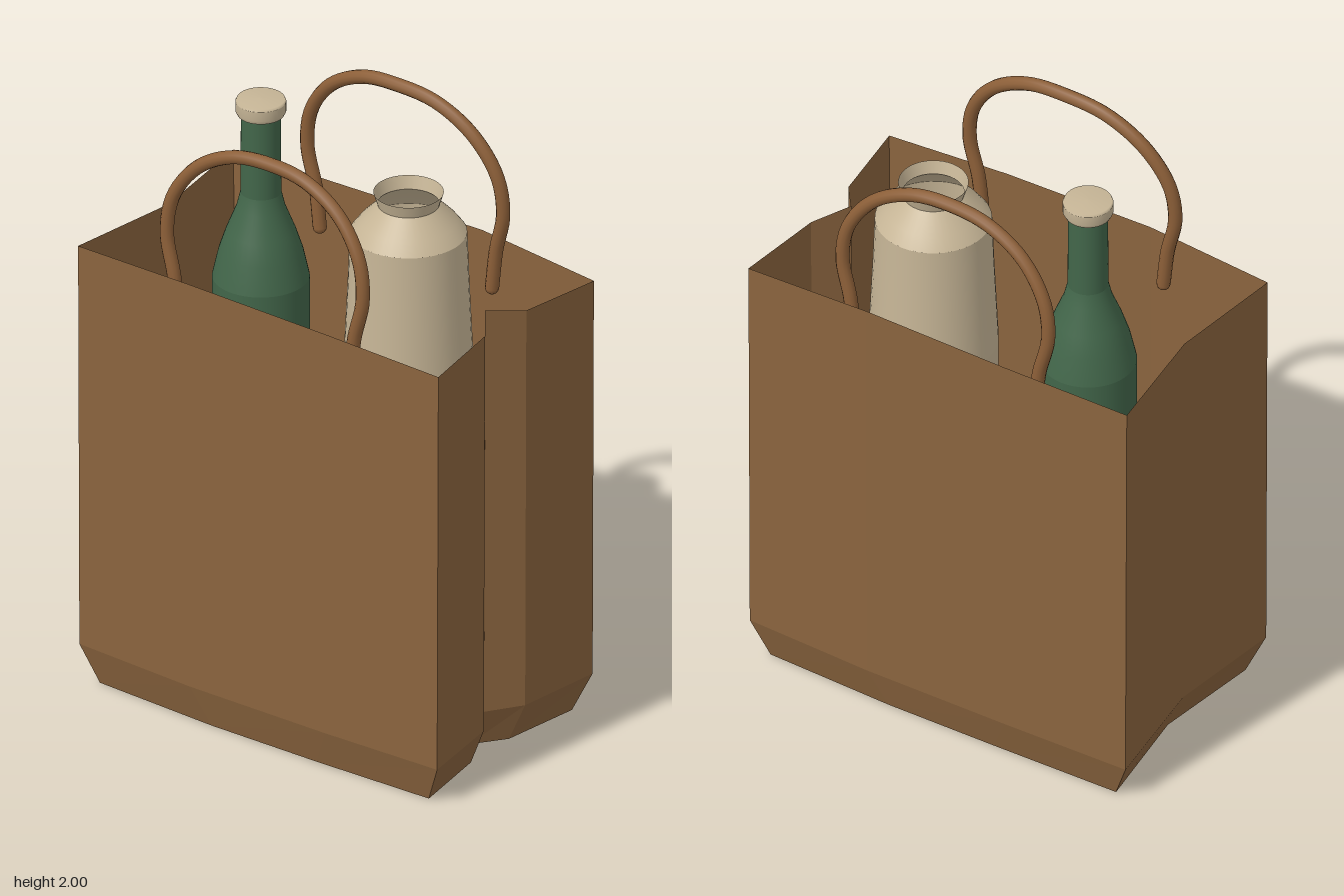
import * as THREE from 'three';

const mat = (name, color, opts = {}) => {
  const m = new THREE.MeshStandardMaterial({ color, ...opts });
  m.name = name;
  return m;
};

// Plan of the bag: counterclockwise outline seen from above, [x, z, rim height].
// Both sides are folded inward, the right one into a deep pleat.
const RIM = [
  [-0.69, 0.39, 1.505], [-0.25, 0.41, 1.52], [0.27, 0.405, 1.51],
  [0.69, 0.39, 1.49], [0.65, 0.1, 1.497], [0.575, 0, 1.52], [0.65, -0.11, 1.497],
  [0.69, -0.4, 1.49], [0.25, -0.415, 1.52], [-0.25, -0.41, 1.51],
  [-0.69, -0.4, 1.505], [-0.64, 0, 1.5],
];

function bagGeometry() {
  const rings = [
    RIM.map(([x, z]) => [x - Math.sign(x) * 0.06, 0, z * 0.92]),
    RIM.map(([x, z]) => [x * 0.993, 0.13, z]),
    RIM.map(([x, z, y]) => [x, y, z]),
  ];
  const n = RIM.length;
  const pos = [];
  const tri = (...corners) => corners.forEach((c) => pos.push(...c));
  for (let i = 0; i < n; i++) {
    const j = (i + 1) % n;
    // walls
    for (let r = 0; r < 2; r++) {
      const lo = rings[r], hi = rings[r + 1];
      tri(lo[i], lo[j], hi[j]);
      tri(lo[i], hi[j], hi[i]);
    }
    // floor
    tri(rings[0][j], rings[0][i], [0, 0, 0]);
  }
  const g = new THREE.BufferGeometry();
  g.setAttribute('position', new THREE.Float32BufferAttribute(pos, 3));
  g.computeVertexNormals();
  return g;
}

// Lathe with creased edges: each profile run is its own smooth band
function lathe(name, runs, material, x, z) {
  const group = new THREE.Group();
  group.name = name;
  runs.forEach((run) => {
    const points = run.map(([r, y]) => new THREE.Vector2(r, y));
    const mesh = new THREE.Mesh(new THREE.LatheGeometry(points, 40), material);
    mesh.name = name + 'Band';
    group.add(mesh);
  });
  group.position.set(x, 0, z);
  return group;
}

export function createModel() {
  const paper = mat('kraft paper', 0x8a643e, { side: THREE.DoubleSide, flatShading: true });
  const cord = mat('handle cord', 0x8c5f38);
  const green = mat('bottle glass', 0x42664a);
  const cream = mat('cream', 0xc6b596, { side: THREE.DoubleSide });

  const model = new THREE.Group();
  model.name = 'groceryBag';

  const bag = new THREE.Mesh(bagGeometry(), paper);
  bag.name = 'bag';
  model.add(bag);

  // Arched handles, leaning inward at the top
  const half = [[0.33, 1.37, 0.36], [0.345, 1.5, 0.36], [0.375, 1.64, 0.357],
    [0.355, 1.77, 0.35], [0.27, 1.89, 0.338], [0.14, 1.962, 0.33]];
  const arch = [
    ...half.map(([x, y, z]) => [-x, y, z]),
    [0, 1.978, 0.326],
    ...half.slice().reverse(),
  ];
  for (const side of [1, -1]) {
    const path = arch.map(([x, y, z]) => new THREE.Vector3(x, y, z * side));
    const curve = new THREE.CatmullRomCurve3(path);
    const handle = new THREE.Group();
    handle.name = side > 0 ? 'frontHandle' : 'backHandle';
    const tube = new THREE.Mesh(new THREE.TubeGeometry(curve, 64, 0.022, 12), cord);
    tube.name = 'handleCord';
    handle.add(tube);
    // rounded cord ends
    for (const p of [path[0], path[path.length - 1]]) {
      const end = new THREE.Mesh(new THREE.SphereGeometry(0.022, 12, 8), cord);
      end.name = 'handleEnd';
      end.position.copy(p);
      handle.add(end);
    }
    model.add(handle);
  }

  // Bottle with its cap
  model.add(lathe('bottle', [
    [[0, 0.02], [0.15, 0.02]],
    [[0.15, 0.02], [0.15, 1.34]],
    [[0.15, 1.34], [0.13, 1.43], [0.107, 1.5], [0.075, 1.58], [0.063, 1.63]],
    [[0.063, 1.63], [0.061, 1.91]],
  ], green, -0.318, -0.045));
  model.add(lathe('bottleCap', [
    [[0.06, 1.898], [0.072, 1.898]],
    [[0.072, 1.898], [0.078, 1.91], [0.078, 1.942]],
    [[0.078, 1.942], [0.074, 1.95], [0, 1.952]],
  ], cream, -0.318, -0.045));

  // Open jar with a flared lip
  model.add(lathe('jar', [
    [[0.2, 0.02], [0.2, 1.2]],
    [[0.2, 1.2], [0.186, 1.5], [0.18, 1.66]],
    [[0.18, 1.66], [0.15, 1.7], [0.095, 1.755]],
    [[0.095, 1.755], [0.108, 1.797]],
  ], cream, 0.235, -0.062));

  return model;
}
